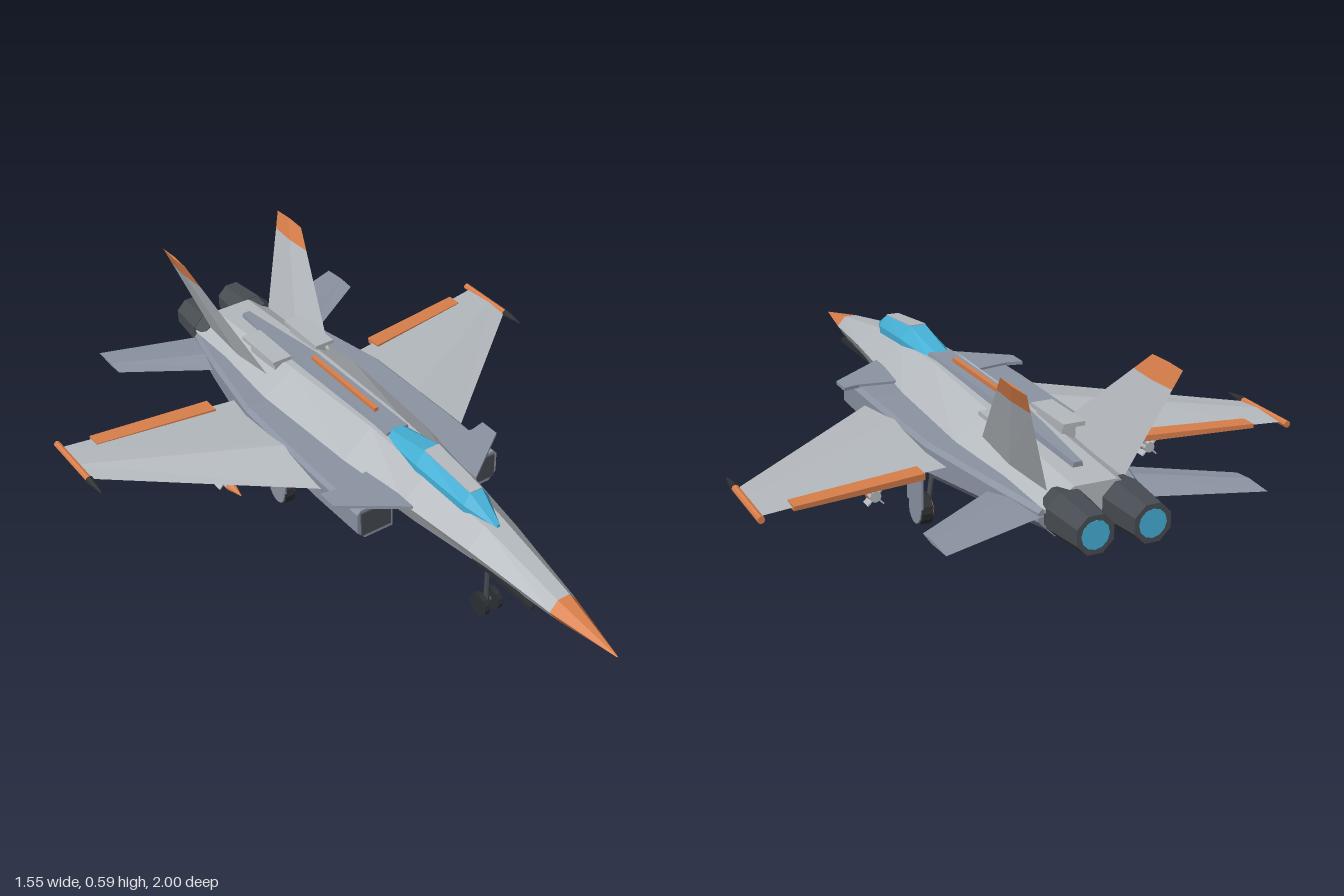
import * as THREE from 'three';

const mat = (name, color) => Object.assign(new THREE.MeshStandardMaterial({ color }), { name });

export function createModel() {
  const jet = new THREE.Group();
  jet.name = 'fighterJet';
  const light = mat('lightGrey', 0xb5babf), blue = mat('blueGrey', 0x8b93a2), dark = mat('darkGrey', 0x474c52),
    black = mat('nearBlack', 0x2c2f33), orange = mat('orange', 0xd97f4b), cyan = mat('cyanGlass', 0x45b0d6);

  // Faceted mesh helper
  const add = (name, geo, material, x = 0, y = 0, z = 0) => {
    const g = geo.index ? geo.toNonIndexed() : geo;
    g.computeVertexNormals();
    const m = new THREE.Mesh(g, material);
    m.name = name;
    m.position.set(x, y, z);
    jet.add(m);
    return m;
  };
  const box = (name, material, w, h, d, x, y, z) => add(name, new THREE.BoxGeometry(w, h, d), material, x, y, z);
  // Cylinder along z; r1 is the front radius
  const rodZ = (name, material, r1, r2, len, sides, x, y, z) =>
    add(name, new THREE.CylinderGeometry(r1, r2, len, sides).rotateX(Math.PI / 2), material, x, y, z);
  const wheel = (name, material, r, w, x, y, z) =>
    add(name, new THREE.CylinderGeometry(r, r, w, 14).rotateZ(Math.PI / 2), material, x, y, z);

  // Closed skin through equal-sized rings of points, always facing outwards
  const loft = (rings) => {
    const tris = [], n = rings[0].length, last = rings[rings.length - 1];
    for (let r = 0; r < rings.length - 1; r++) {
      for (let i = 0; i < n; i++) {
        const j = (i + 1) % n, [a, b, c, d] = [rings[r][i], rings[r][j], rings[r + 1][j], rings[r + 1][i]];
        tris.push([a, b, c], [a, c, d]);
      }
    }
    for (let i = 1; i < n - 1; i++) tris.push([rings[0][0], rings[0][i + 1], rings[0][i]], [last[0], last[i], last[i + 1]]);
    const v = (p) => new THREE.Vector3(...p);
    const o = v(rings[0][0]);
    let volume = 0;
    for (const [a, b, c] of tris) volume += v(a).sub(o).dot(v(b).sub(o).cross(v(c).sub(o)));
    const pts = tris.flatMap((t) => (volume < 0 ? [t[0], t[2], t[1]] : t)).flat();
    const g = new THREE.BufferGeometry();
    g.setAttribute('position', new THREE.Float32BufferAttribute(pts, 3));
    return g;
  };
  // Flat-sided surface from span stations [x, y, leading z, trailing z, half thickness]
  const airfoil = (stations, s) => loft(stations.map(([x, y, le, te, t]) => {
    const mid = le + (te - le) * 0.4;
    return [[s * x, y, le], [s * x, y + t, mid], [s * x, y, te], [s * x, y - t, mid]];
  }));

  // Fuselage sections: z, top half width, top y, side half width, side y, bottom half width, bottom y
  const hull = ([z, a, ya, b, yb, c, yc]) =>
    [[a, ya, z], [b, yb, z], [c, yc, z], [-c, yc, z], [-b, yb, z], [-a, ya, z]];
  const neck = [0.79, 0.02, 0.28, 0.045, 0.25, 0.025, 0.218];
  add('noseCone', loft([[1, 0.001, 0.236, 0.002, 0.235, 0.001, 0.234], neck].map(hull)), orange);
  add('fuselage', loft([neck,
    [0.5, 0.03, 0.333, 0.085, 0.275, 0.05, 0.212],
    [0.25, 0.045, 0.36, 0.118, 0.285, 0.08, 0.206],
    [0, 0.05, 0.37, 0.145, 0.29, 0.1, 0.2],
    [-0.4, 0.06, 0.355, 0.165, 0.29, 0.12, 0.2],
    [-0.86, 0.06, 0.322, 0.14, 0.275, 0.11, 0.2]].map(hull)), light);

  // Dorsal spine with its stripe
  add('spine', loft([[0.06, 0.035, 0.05, 0.378], [-0.4, 0.03, 0.045, 0.375], [-0.77, 0.012, 0.02, 0.342]]
    .map(([z, a, b, y]) => [[a, y, z], [b, y - 0.045, z], [-b, y - 0.045, z], [-a, y, z]])), blue);
  box('spineStripe', orange, 0.014, 0.012, 0.33, 0, 0.384, -0.21);

  // Canopy with a grey roof strip
  const canopy = [[0.52, 0.003, 0.338, 0.006, 0.328], [0.42, 0.02, 0.388, 0.042, 0.335],
    [0.22, 0.025, 0.41, 0.055, 0.345], [0.05, 0.018, 0.378, 0.04, 0.355]];
  add('canopy', loft(canopy.map(([z, a, ya, b, yb]) =>
    [[a, ya, z], [b, (ya + yb) / 2 - 0.005, z], [b, yb, z], [-b, yb, z], [-b, (ya + yb) / 2 - 0.005, z], [-a, ya, z]])), cyan);
  add('canopyRoof', loft(canopy.slice(1, 3).map(([z, a, y]) =>
    [[a, y - 0.002, z], [a, y + 0.003, z], [-a, y + 0.003, z], [-a, y - 0.002, z]])), light);

  // Nose gear
  box('noseGearDoor', dark, 0.04, 0.012, 0.4, 0, 0.209, 0.5);
  add('noseGearStrut', new THREE.CylinderGeometry(0.008, 0.008, 0.19, 8), dark, 0, 0.13, 0.485);
  wheel('noseGearAxle', dark, 0.007, 0.05, 0, 0.038, 0.485);

  for (const s of [1, -1]) {
    const side = s > 0 ? 'left' : 'right';
    const nm = (part) => side + part;
    wheel(nm('NoseWheel'), black, 0.036, 0.016, s * 0.023, 0.037, 0.485);
    box(nm('NosePanel'), black, 0.012, 0.014, 0.25, s * 0.05, 0.222, 0.605);

    // Engine duct and inlet: z, inner x, outer x, top y, bottom y
    add(nm('EngineDuct'), loft([[0.21, 0.125, 0.245, 0.288, 0.187], [0, 0.12, 0.248, 0.29, 0.185],
      [-0.38, 0.11, 0.242, 0.29, 0.185], [-0.66, 0.09, 0.195, 0.285, 0.205], [-0.85, 0.07, 0.15, 0.275, 0.215]]
      .map(([z, a, b, t, u]) => [[s * a, t, z], [s * (b - 0.012), t, z], [s * b, t - 0.012, z],
        [s * b, u + 0.025, z], [s * (b - 0.025), u, z], [s * a, u, z]])), blue);
    box(nm('Inlet'), dark, 0.1, 0.078, 0.008, s * 0.184, 0.24, 0.211);

    // Foreplane strake
    add(nm('Strake'), loft([0.286, 0.296].map((y) =>
      [[0.11, 0.285], [0.288, 0.155], [0.288, 0.09], [0.24, 0.1], [0.11, 0.08]].map(([x, z]) => [s * x, y, z]))), blue);

    // Main wing, flap and tip rail
    add(nm('Wing'), airfoil([[0.14, 0.256, 0.13, -0.47, 0.03], [0.25, 0.256, 0.03, -0.485, 0.027],
      [0.76, 0.256, -0.39, -0.572, 0.006]], s), light);
    add(nm('Flap'), loft([[0.3, -0.462, -0.516, 0.009], [0.67, -0.518, -0.566, 0.006]].map(([x, f, b, t]) =>
      [[s * x, 0.256 + t, f], [s * x, 0.256 + t, b], [s * x, 0.256 - t, b], [s * x, 0.256 - t, f]])), orange);
    rodZ(nm('TipRail'), orange, 0.01, 0.01, 0.21, 8, s * 0.762, 0.256, -0.49);
    rodZ(nm('TipPod'), black, 0.002, 0.013, 0.075, 8, s * 0.762, 0.256, -0.348);

    // Tailplane
    add(nm('Tailplane'), airfoil([[0.1, 0.255, -0.6, -0.84, 0.014], [0.44, 0.255, -0.82, -0.953, 0.005]], s), blue);

    // Canted fin with coloured tip; k runs from base to top
    const fin = (k) => {
      const L = (a, b) => a + (b - a) * k, x = L(0.108, 0.21), y = L(0.3, 0.588);
      const le = L(-0.445, -0.755), te = L(-0.812, -0.893), t = L(0.011, 0.004), mid = (le + te) / 2;
      return [[s * x, y, le], [s * (x + t), y, mid], [s * x, y, te], [s * (x - t), y, mid]];
    };
    add(nm('Fin'), loft([fin(0), fin(0.82)]), light);
    add(nm('FinTip'), loft([fin(0.82), fin(1)]), orange);
    box(nm('Airbrake'), light, 0.064, 0.012, 0.18, s * 0.077, 0.37, -0.52);
    box(nm('AirbrakeMount'), light, 0.04, 0.04, 0.14, s * 0.072, 0.345, -0.52);

    // Exhaust nozzle and glow
    rodZ(nm('NozzleCollar'), dark, 0.058, 0.064, 0.05, 8, s * 0.078, 0.257, -0.845).rotation.z = Math.PI / 8;
    rodZ(nm('Nozzle'), dark, 0.066, 0.054, 0.13, 8, s * 0.078, 0.257, -0.934).rotation.z = Math.PI / 8;
    rodZ(nm('ExhaustGlow'), cyan, 0.038, 0.038, 0.006, 12, s * 0.078, 0.257, -0.997);

    // Main gear
    wheel(nm('MainWheel'), black, 0.045, 0.034, s * 0.2, 0.045, -0.26);
    wheel(nm('OuterHub'), blue, 0.04, 0.006, s * 0.218, 0.045, -0.26);
    wheel(nm('InnerHub'), orange, 0.038, 0.006, s * 0.182, 0.045, -0.26);
    add(nm('MainStrut'), new THREE.CylinderGeometry(0.008, 0.008, 0.17, 8), dark, s * 0.17, 0.122, -0.26).rotation.z = s * 0.14;
    box(nm('MainGearDoor'), blue, 0.006, 0.135, 0.1, s * 0.219, 0.13, -0.26);

    // Wing store on its pylon
    const x = s * 0.41, y = 0.193;
    box(nm('Pylon'), blue, 0.014, 0.05, 0.17, x, 0.225, -0.3);
    rodZ(nm('StoreBody'), light, 0.016, 0.016, 0.25, 8, x, y, -0.325);
    rodZ(nm('StoreNose'), orange, 0.001, 0.016, 0.06, 8, x, y, -0.17);
    rodZ(nm('StoreBand'), orange, 0.018, 0.018, 0.02, 8, x, y, -0.42);
    for (const z of [-0.24, -0.435]) {
      for (const a of [1, -1]) box(nm('StoreFin'), light, 0.064, 0.004, 0.03, x, y, z).rotation.z = a * Math.PI / 4;
    }
  }
  return jet;
}
